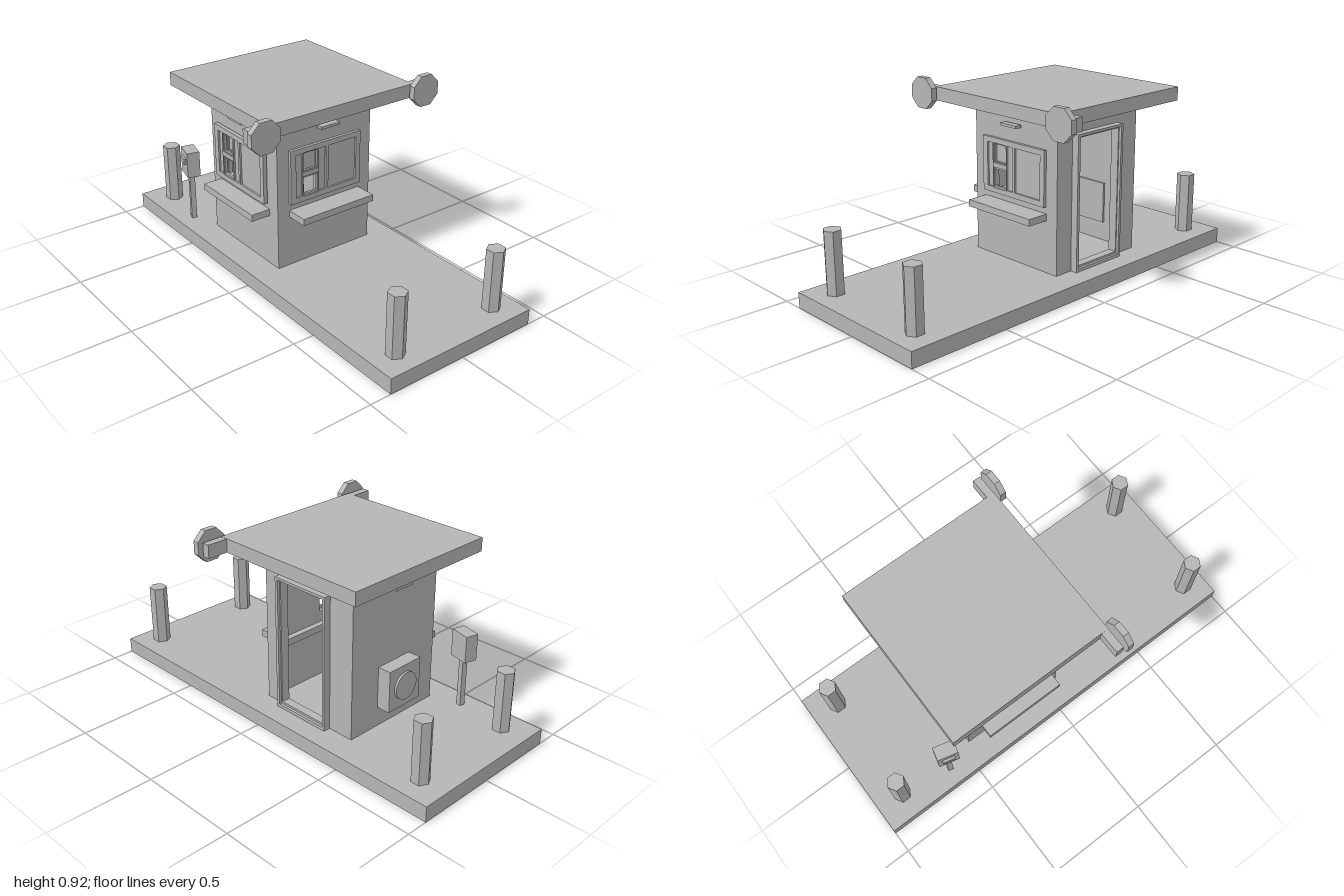
import * as THREE from 'three';

const grey = new THREE.MeshStandardMaterial({ color: 0xb4b6b4 });
grey.name = 'concreteGrey';

export function createModel() {
  const root = new THREE.Group();
  root.name = 'guardBooth';

  const add = (parent, name, geo, x = 0, y = 0, z = 0) => {
    const m = new THREE.Mesh(geo, grey);
    m.name = name;
    m.position.set(x, y, z);
    parent.add(m);
    return m;
  };
  // box given by its limits on each axis
  const box = (parent, name, x0, x1, y0, y1, z0, z1) =>
    add(parent, name, new THREE.BoxGeometry(x1 - x0, y1 - y0, z1 - z0),
      (x0 + x1) / 2, (y0 + y1) / 2, (z0 + z1) / 2);
  const group = (name, x = 0, z = 0, turn = 0) => {
    const g = new THREE.Group();
    g.name = name;
    g.position.set(x, 0, z);
    g.rotation.y = turn;
    root.add(g);
    return g;
  };
  const trace = (p, [x0, x1, y0, y1]) => {
    p.moveTo(x0, y0);
    p.lineTo(x1, y0);
    p.lineTo(x1, y1);
    p.lineTo(x0, y1);
    p.closePath();
    return p;
  };
  // flat slab with rectangular holes, from z = 0 to z = depth
  const slab = (rect, holes, depth) => {
    const s = trace(new THREE.Shape(), rect);
    for (const h of holes) s.holes.push(trace(new THREE.Path(), h));
    return new THREE.ExtrudeGeometry(s, { depth, bevelEnabled: false });
  };

  // island
  box(root, 'islandBase', -0.397, 0.397, 0, 0.075, -1, 1);

  // hexagonal bollards
  for (const x of [-0.276, 0.276])
    for (const z of [-0.867, 0.887])
      add(root, 'bollard', new THREE.CylinderGeometry(0.043, 0.043, 0.297, 6).toNonIndexed(), x, 0.2225, z)
        .geometry.computeVertexNormals();

  // hollow booth; each wall group faces outwards along its own z
  const H = 0.266, T = 0.02, ZC = -0.2;
  const wallRect = [-H, H, 0.07, 0.815];
  const sideRect = [-H + T, H - T, 0.07, 0.815];
  const hatch = [-0.131, -0.048, 0.414, 0.631];
  const front = group('frontSide', 0, ZC + H);
  const left = group('doorSide', H, ZC, Math.PI / 2);
  const back = group('backSide', 0, ZC - H, Math.PI);
  const right = group('serviceSide', -H, ZC, -Math.PI / 2);
  add(front, 'frontWall', slab(wallRect, [hatch], T), 0, 0, -T);
  add(back, 'backWall', slab(wallRect, [], T), 0, 0, -T);
  add(right, 'serviceWall', slab(sideRect, [hatch], T), 0, 0, -T);
  const opening = [-0.148, 0.116, 0.1, 0.707];
  add(left, 'doorWall', slab(sideRect, [opening], T), 0, 0, -T);

  // door frame, with a shallow step around the opening
  add(left, 'doorFrame', slab([-0.17, 0.134, 0.075, 0.727], [[-0.155, 0.121, 0.09, 0.715]], 0.035));
  add(left, 'doorFrameStep', slab([-0.158, 0.124, 0.08, 0.718], [opening], 0.022));

  // service windows with shelves
  const windowUnit = (parent, offset, reach) => {
    const panes = [
      [-0.172, -0.137, 0.417, 0.63],
      [-0.044, -0.004, 0.417, 0.63],
      [0.01, 0.172, 0.417, 0.63],
    ];
    const upper = [-0.131, -0.048, 0.536, 0.631];
    const lower = [-0.131, -0.048, 0.414, 0.514];
    add(parent, 'windowFrame', slab([-0.202, 0.198, 0.39, 0.656], [...panes, upper, lower], 0.02), 0, 0, offset);
    for (const [x0, x1, y0, y1] of panes)
      box(parent, 'windowPane', x0, x1, y0, y1, -0.01, offset + 0.011);
    box(parent, 'hatchPane', ...upper, -0.015, -0.008);
    add(parent, 'hatchSash', slab(upper, [[-0.127, -0.052, 0.541, 0.626]], 0.012), 0, 0, offset + 0.003);
    add(parent, 'hatchSash', slab(lower, [[-0.127, -0.052, 0.424, 0.505]], 0.012), 0, 0, offset + 0.003);
    box(parent, 'serviceShelf', -0.202, 0.202, 0.326, 0.359, -0.05, reach);
  };
  windowUnit(front, -0.005, 0.11);
  windowUnit(right, 0.008, 0.098);

  // small lamps under the eaves
  for (const side of [front, back, right])
    box(side, 'eavesLamp', -0.053, 0.05, 0.733, 0.746, 0.012, 0.045);

  // cooling unit through the back wall
  box(back, 'coolingUnit', -0.1, 0.1, 0.17, 0.372, -0.03, 0.067);
  add(back, 'coolingFan', new THREE.CylinderGeometry(0.067, 0.067, 0.012, 24).rotateX(Math.PI / 2), 0, 0.271, 0.072);

  // roof with sign arms and octagonal signs
  box(root, 'roof', -0.4, 0.4, 0.81, 0.875, -0.603, 0.203);
  for (const s of [-1, 1]) {
    const x = s * 0.45;
    box(root, 'signArm', x - 0.052, x + 0.052, 0.811, 0.874, 0.165, 0.202);
    const sign = new THREE.CylinderGeometry(0.079, 0.079, 0.03, 8)
      .rotateY(Math.PI / 8).rotateX(Math.PI / 2).toNonIndexed();
    sign.computeVertexNormals();
    add(root, 'octagonSign', sign, s * 0.443, 0.844, 0.232);
  }

  // ticket box on a post
  const ticket = group('ticketBox', -0.312, -0.612, -0.245);
  box(ticket, 'ticketPost', -0.013, 0.013, 0.07, 0.33, -0.013, 0.013);
  box(ticket, 'ticketCase', -0.032, 0.032, 0.32, 0.451, -0.05, 0.05);
  box(ticket, 'ticketSlot', -0.043, -0.03, 0.386, 0.415, -0.03, 0.03);

  return root;
}
